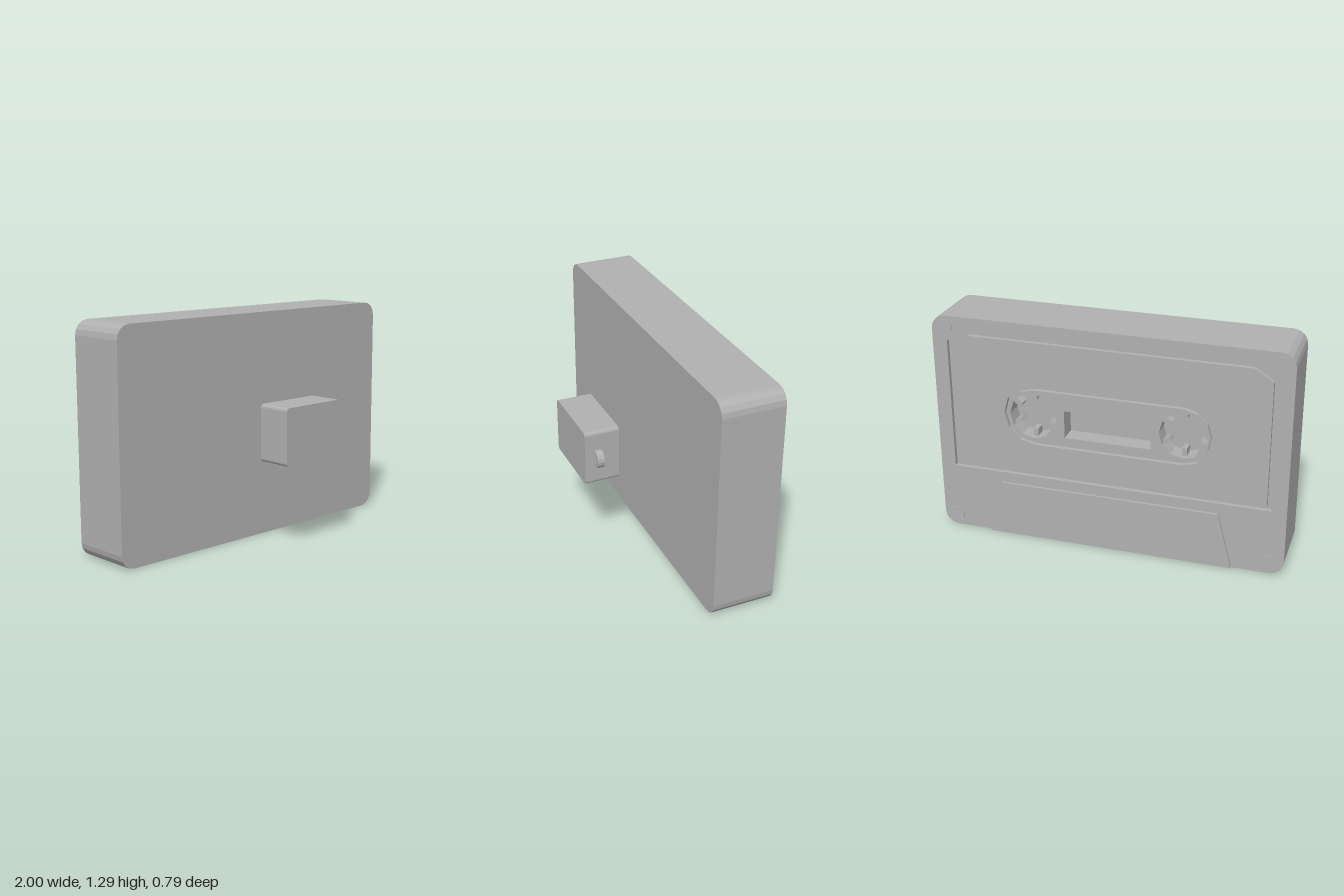
import * as THREE from 'three';

const grey = new THREE.MeshStandardMaterial({ color: 0xb0b0b0 });
grey.name = 'grey plastic';

// Polygon from points, usable as an outline or as a hole
const poly = (pts) => new THREE.Shape(pts.map(([x, y]) => new THREE.Vector2(x, y)));

// Points along an arc
function arc(cx, cy, r, a0, a1, n) {
  const pts = [];
  for (let i = 0; i <= n; i++) {
    const a = a0 + ((a1 - a0) * i) / n;
    pts.push([cx + r * Math.cos(a), cy + r * Math.sin(a)]);
  }
  return pts;
}

const P = Math.PI;

function roundRect(x0, y0, x1, y1, r, n) {
  return [
    ...arc(x1 - r, y0 + r, r, -P / 2, 0, n),
    ...arc(x1 - r, y1 - r, r, 0, P / 2, n),
    ...arc(x0 + r, y1 - r, r, P / 2, P, n),
    ...arc(x0 + r, y0 + r, r, P, 1.5 * P, n),
  ];
}

const rect = (x0, y0, x1, y1) => [[x0, y0], [x1, y0], [x1, y1], [x0, y1]];
const circle = (x, y, r, n) => arc(x, y, r, 0, 2 * P, n).slice(0, -1);
const capsule = (cx, cy, half, r) => [
  ...arc(cx + half, cy, r, -P / 2, P / 2, 6),
  ...arc(cx - half, cy, r, P / 2, 1.5 * P, 6),
];

// Flat slab between two depths, with optional holes
function slab(group, name, outline, z0, z1, holes = []) {
  const shape = poly(outline);
  shape.holes = holes.map(poly);
  const geo = new THREE.ExtrudeGeometry(shape, { depth: z1 - z0, bevelEnabled: false });
  geo.translate(0, 0, z0);
  const mesh = new THREE.Mesh(geo, grey);
  mesh.name = name;
  group.add(mesh);
  return mesh;
}

// Slotted screw head: two half discs with a gap
function screw(group, x, y, r, z, h, turn) {
  const g = new THREE.Group();
  g.name = 'screw';
  const gap = 0.08;
  for (const side of [0, P]) {
    const half = slab(g, 'screwHalf', arc(0, 0, r, gap, P - gap, 8), -h, 0);
    half.rotation.z = side;
  }
  g.position.set(x, y, z);
  g.rotation.z = turn;
  group.add(g);
}

function createCassette() {
  const g = new THREE.Group();
  g.name = 'cassette';
  const front = -0.02, floor = -0.275, groove = -0.352, back = -0.377;
  const cy = 0.762, hubX = 0.425;
  const outline = roundRect(-1, 0, 1, 1.295, 0.08, 4);

  // Chamfered label panel outline, inset by d
  const panel = (d) => {
    const x = 0.915 - d, y0 = 0.385 + d, y1 = 1.217 - d;
    return [[-x, y0], [x, y0], [x, y1 - 0.065], [x - 0.1, y1], [-x + 0.1, y1], [-x, y1 - 0.065]];
  };
  const openings = [
    circle(hubX, cy, 0.135, 12),
    circle(-hubX, cy, 0.135, 12),
    rect(-0.245, 0.655, 0.245, 0.815),
  ];

  // Shell, stacked so the grooves and openings are real recesses
  slab(g, 'shell', outline, floor, front);
  slab(g, 'shellMiddle', outline, groove, floor, openings);
  slab(g, 'shellRim', outline, back, groove, [panel(0)]);
  slab(g, 'labelPanel', panel(0.025), back, groove, [capsule(0, cy, 0.42, 0.175)]);
  slab(g, 'reelPanel', capsule(0, cy, 0.42, 0.155), back, groove, openings);

  // Drive teeth inside each hub
  for (const side of [-1, 1]) {
    const hub = new THREE.Group();
    hub.name = 'hub';
    hub.position.set(side * hubX, cy, -0.315);
    for (let i = 0; i < 6; i++) {
      const a = (i * P) / 3 + P / 6;
      const tooth = new THREE.Mesh(new THREE.BoxGeometry(0.045, 0.028, 0.06), grey);
      tooth.name = 'hubTooth';
      tooth.position.set(0.112 * Math.cos(a), 0.112 * Math.sin(a), 0);
      tooth.rotation.z = a;
      hub.add(tooth);
    }
    g.add(hub);
  }

  // Raised head plate and corner screws
  slab(g, 'headPlate', [[-0.71, 0], [0.71, 0], [0.63, 0.325], [-0.63, 0.325]], -0.392, back);
  for (const x of [-0.925, 0.925])
    for (const y of [0.07, 1.23]) screw(g, x, y, 0.044, back, 0.006, x > 0 ? 0.6 : -0.5);
  return g;
}

function createSmallCase() {
  const g = new THREE.Group();
  g.name = 'smallCase';
  slab(g, 'caseBody', roundRect(-0.195, 0.498, 0.236, 0.82, 0.02, 4), 0.196, 0.395);

  // Half-ring loop on the side
  slab(g, 'loop', [
    ...arc(0.236, 0.652, 0.053, -P / 2, P / 2, 8),
    ...arc(0.236, 0.652, 0.03, P / 2, -P / 2, 8),
  ], 0.3, 0.34);

  // Back plate and screws
  slab(g, 'casePlate', [[-0.093, 0.5], [0.135, 0.5], [0.125, 0.525], [-0.083, 0.525]], 0.19, 0.196);
  for (const x of [-0.17, 0.211])
    for (const y of [0.523, 0.797]) screw(g, x, y, 0.011, 0.196, 0.002, 0.5);
  return g;
}

export function createModel() {
  const model = new THREE.Group();
  model.name = 'cassetteSet';
  model.add(createCassette(), createSmallCase());
  return model;
}
